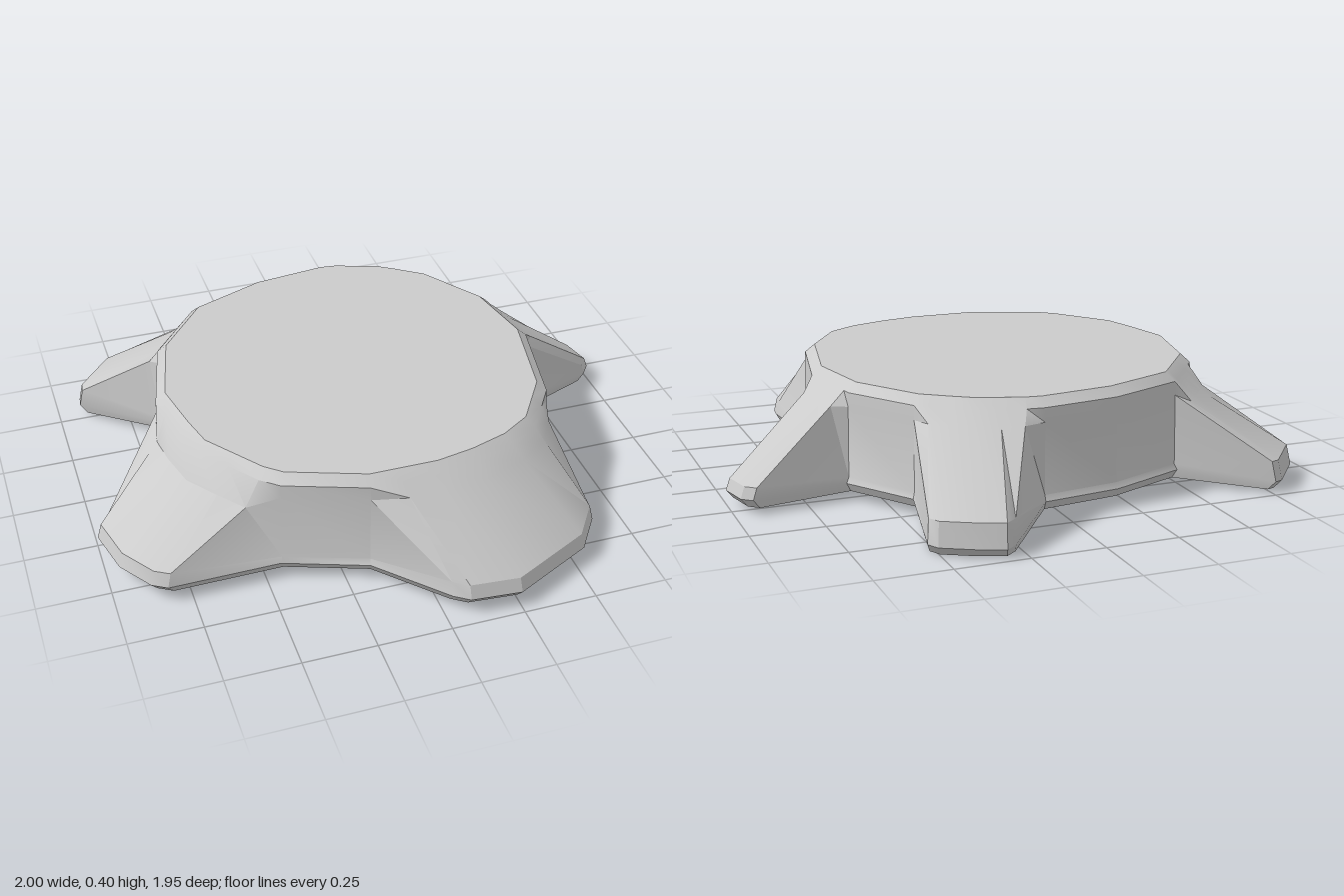
import * as THREE from 'three';
import { toCreasedNormals } from 'three/addons/utils/BufferGeometryUtils.js';

// Cut rim of the stump (x, z), clockwise seen from above
const RIM = [
  [-0.2, -0.64], [0.1, -0.68], [0.3, -0.61], [0.45, -0.5], [0.6, -0.27],
  [0.65, 0], [0.58, 0.35], [0.43, 0.58], [0.13, 0.68], [-0.17, 0.68],
  [-0.47, 0.57], [-0.66, 0.31], [-0.72, 0], [-0.65, -0.3], [-0.47, -0.53],
];

// Each root leaves the rim between two positions and ends in a toe outline (x, z)
const BACK_ROOT = {
  from: 0.9, to: 3, base: 0, toe: 0.11, sag: 0,
  outline: [[0.28, -0.95], [0.32, -0.98], [0.41, -0.945], [0.51, -0.89], [0.53, -0.85]],
};
const LEFT_ROOT = {
  from: 4, to: 5, base: 0.02, toe: 0.09, sag: 0,
  outline: [[0.94, -0.31], [0.975, -0.28], [1, -0.17], [0.97, -0.13]],
};
const FRONT_ROOT = {
  from: 6, to: 9, base: 0.03, toe: 0.11, sag: 0,
  outline: [[0.625, 0.65], [0.62, 0.7], [0.53, 0.83], [0.25, 0.97], [0.08, 0.955], [0.03, 0.92]],
};
const RIGHT_ROOT = {
  from: 9.9, to: 12, base: 0.03, toe: 0.11, sag: 0.05,
  outline: [[-0.83, 0.6], [-0.88, 0.57], [-0.96, 0.45], [-1, 0.28], [-0.97, 0.24]],
};
const BACK_RIGHT_ROOT = {
  from: 13, to: 14, base: 0.01, toe: 0.11, sag: 0.03,
  outline: [[-0.92, -0.53], [-0.915, -0.57], [-0.79, -0.72], [-0.76, -0.73]],
};
const ROOTS = [BACK_ROOT, LEFT_ROOT, FRONT_ROOT, RIGHT_ROOT, BACK_RIGHT_ROOT];

function rimPoint(t) {
  const i = Math.floor(t), f = t - i;
  const a = RIM[i % RIM.length], b = RIM[(i + 1) % RIM.length];
  return [a[0] + (b[0] - a[0]) * f, a[1] + (b[1] - a[1]) * f];
}

// Points of one column, from the underside up to the cut face
function column([rx, rz], [x, z], { base, toe, sag }) {
  const shoulder = 0.15;
  return [
    [x * 0.975, base, z * 0.975],
    [x, base + 0.03, z],
    [x * 0.985, toe, z * 0.985],
    [rx + (x - rx) * shoulder, 0.365 + (toe - 0.365) * shoulder - sag, rz + (z - rz) * shoulder],
    [rx, 0.37, rz],
    [-0.04 + (rx + 0.04) * 0.95, 0.4, rz * 0.95],
  ];
}

// Hollow between roots: the wall drops almost straight down
function hollow(t) {
  const rim = rimPoint(t);
  return column(rim, rim.map((v) => v * 1.025), { base: 0.03, toe: 0.08, sag: 0 });
}

// Columns of one root, with a hollow on either side
function rootColumns(root) {
  const { from, to, outline } = root;
  const toes = outline.map((point, i) => {
    const across = 0.12 + 0.76 * i / (outline.length - 1);
    return column(rimPoint(from + (to - from) * across), point, root);
  });
  return [hollow(from), ...toes, hollow(to)];
}

function makeGeometry(triangles) {
  const geometry = new THREE.BufferGeometry();
  geometry.setAttribute('position', new THREE.Float32BufferAttribute(triangles.flat(2), 3));
  return toCreasedNormals(geometry, 0.5);
}

// Closes a loop with triangles facing up (1) or down (-1)
function cap(loop, facing) {
  const flat = loop.map(([x, , z]) => new THREE.Vector2(x, z));
  return THREE.ShapeUtils.triangulateShape(flat, []).map((face) => {
    const [a, b, c] = face.map((i) => loop[i]);
    const ny = (b[2] - a[2]) * (c[0] - a[0]) - (b[0] - a[0]) * (c[2] - a[2]);
    return ny * facing > 0 ? [a, b, c] : [a, c, b];
  });
}

export function createModel() {
  const group = new THREE.Group();
  group.name = 'treeStump';
  const material = new THREE.MeshStandardMaterial({ color: 0xcccccc });
  const columns = [hollow(0), ...ROOTS.flatMap(rootColumns)];

  // Bark: walls and roots skinned between neighbouring columns
  const bark = [];
  columns.forEach((a, i) => {
    const b = columns[(i + 1) % columns.length];
    for (let r = 0; r < a.length - 1; r++) {
      bark.push([a[r], a[r + 1], b[r + 1]], [a[r], b[r + 1], b[r]]);
    }
  });

  const parts = {
    trunkAndRoots: bark,
    cutFace: cap(columns.map((c) => c[5]), 1),
    underside: cap(columns.map((c) => c[0]), -1),
  };
  for (const [name, triangles] of Object.entries(parts)) {
    const mesh = new THREE.Mesh(makeGeometry(triangles), material);
    mesh.name = name;
    group.add(mesh);
  }
  return group;
}
